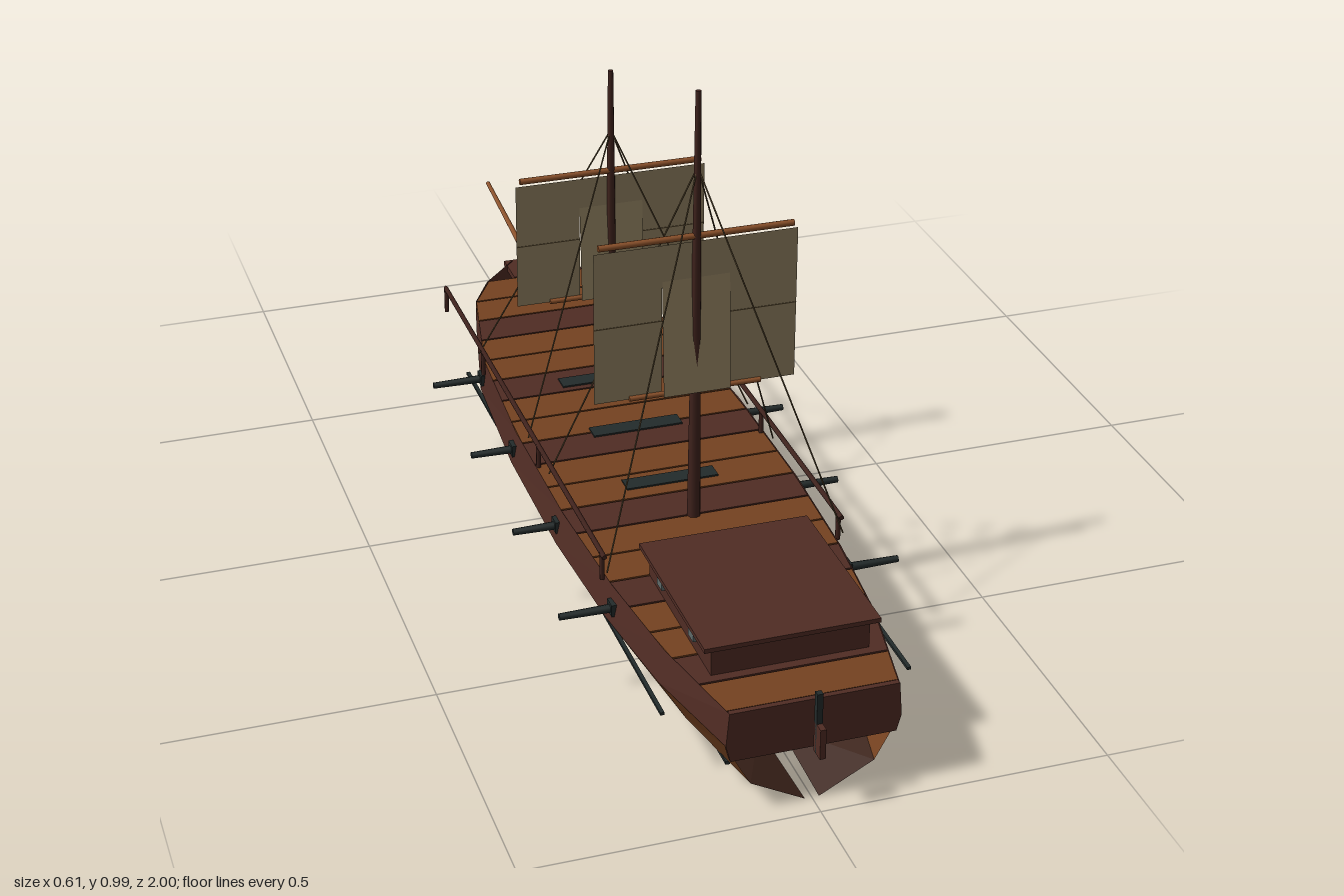
import * as THREE from 'three';

const paint = (name, color, opts = {}) => {
  const m = new THREE.MeshStandardMaterial({ color, ...opts });
  m.name = name;
  return m;
};

export function createModel() {
  const ship = new THREE.Group();
  ship.name = 'sailingShip';

  const open = { side: THREE.DoubleSide, flatShading: true };
  const oak = paint('warmBrownWood', 0x754220, open);
  const mahogany = paint('redBrownWood', 0x502c24, open);
  const tarred = paint('tarredWood', 0x3c231a, open);
  const mastWood = paint('mastWood', 0x40231d);
  const sparWood = paint('lightSparWood', 0x8b5028);
  const iron = paint('darkIron', 0x232b2b);
  const glass = paint('windowGlass', 0x5f6b6a);
  const rope = paint('rope', 0x5a4a30);
  const canvas = paint('canvas', 0x938262, { side: THREE.DoubleSide });

  const add = (name, geo, mat, parent = ship) => {
    const m = new THREE.Mesh(geo, mat);
    m.name = name;
    parent.add(m);
    return m;
  };
  const box = (name, mat, w, h, d, x, y, z, parent) => {
    const m = add(name, new THREE.BoxGeometry(w, h, d), mat, parent);
    m.position.set(x, y, z);
    return m;
  };
  // Round bar between two points, with a radius at each end
  const bar = (name, mat, a, b, r0, r1 = r0, sides = 6, parent = ship) => {
    const p = new THREE.Vector3(...a), q = new THREE.Vector3(...b);
    const dir = q.clone().sub(p);
    const m = add(name, new THREE.CylinderGeometry(r1, r0, dir.length(), sides), mat, parent);
    m.position.copy(p).add(q).multiplyScalar(0.5);
    m.quaternion.setFromUnitVectors(new THREE.Vector3(0, 1, 0), dir.normalize());
    return m;
  };

  // Hull stations: z, then half widths at deck, wale, chine and keel
  const stations = [
    [-0.70, 0.030, 0.018, 0.007, 0.003],
    [-0.62, 0.105, 0.100, 0.060, 0.008],
    [-0.54, 0.150, 0.150, 0.100, 0.012],
    [-0.29, 0.200, 0.208, 0.155, 0.018],
    [0.00, 0.217, 0.228, 0.178, 0.022],
    [0.30, 0.217, 0.230, 0.180, 0.022],
    [0.55, 0.205, 0.217, 0.168, 0.020],
    [0.76, 0.183, 0.193, 0.145, 0.017],
    [0.96, 0.143, 0.148, 0.105, 0.012],
  ];
  const levels = [0.19, 0.13, 0.05, 0];

  const deckHalfWidth = (z) => {
    for (let i = 1; i < stations.length; i++) {
      const a = stations[i - 1], b = stations[i];
      if (z <= b[0]) return THREE.MathUtils.lerp(a[1], b[1], (z - a[0]) / (b[0] - a[0]));
    }
    return stations[stations.length - 1][1];
  };

  // Planked hull sides, three strakes each
  const strake = (side, row) => {
    const pos = [], index = [];
    stations.forEach((s, i) => {
      pos.push(side * s[row + 1], levels[row], s[0], side * s[row + 2], levels[row + 1], s[0]);
      if (i === 0) return;
      const a = 2 * i - 2, b = a + 1, c = a + 2, d = a + 3;
      if (side > 0) index.push(a, c, b, b, c, d);
      else index.push(a, b, c, b, d, c);
    });
    const g = new THREE.BufferGeometry();
    g.setAttribute('position', new THREE.Float32BufferAttribute(pos, 3));
    g.setIndex(index);
    g.computeVertexNormals();
    return g;
  };
  for (const side of [1, -1]) {
    const label = side > 0 ? 'left' : 'right';
    add(label + 'TopStrake', strake(side, 0), mahogany);
    add(label + 'MiddleStrake', strake(side, 1), oak);
    add(label + 'BottomStrake', strake(side, 2), tarred);
    box(label + 'Wale', iron, 0.007, 0.005, 1.21, side * 0.212, 0.125, 0.235);
    box(label + 'ChineRail', iron, 0.007, 0.006, 1.55, side * 0.12, 0.048, 0.12);
  }

  // Transom panel
  const transom = new THREE.Shape([
    new THREE.Vector2(-0.143, 0.19), new THREE.Vector2(-0.148, 0.13), new THREE.Vector2(-0.14, 0.1),
    new THREE.Vector2(0.14, 0.1), new THREE.Vector2(0.148, 0.13), new THREE.Vector2(0.143, 0.19),
  ]);
  add('transom', new THREE.ExtrudeGeometry(transom, { depth: 0.01, bevelEnabled: false }), mahogany)
    .position.z = 0.952;

  // Deck planks tapered to the hull sides, every third one darker
  for (let i = -1; i <= 18; i++) {
    const z = -0.585 + 0.083 * i;
    const plank = box('deckPlank', (i + 1) % 3 === 0 ? mahogany : oak, 2, 0.012, 0.079, 0, 0.182, z);
    const p = plank.geometry.attributes.position;
    for (let v = 0; v < p.count; v++) {
      p.setX(v, p.getX(v) * (i < 0 ? 0.045 : deckHalfWidth(z + p.getZ(v)) - 0.001));
    }
  }

  // Hatch gratings
  for (const z of [-0.16, 0.04, 0.24]) box('hatchGrating', iron, 0.17, 0.008, 0.034, 0, 0.187, z);

  // Stern cabin
  box('cabinWalls', mahogany, 0.27, 0.05, 0.315, 0, 0.214, 0.693);
  box('cabinRoof', mahogany, 0.30, 0.008, 0.335, 0, 0.243, 0.693);
  for (const side of [1, -1]) {
    for (const z of [0.61, 0.77]) box('cabinWindow', glass, 0.008, 0.018, 0.024, side * 0.138, 0.219, z);
  }

  // Guns and their ports
  for (const side of [1, -1]) {
    for (const z of [-0.282, 0, 0.283, 0.567]) {
      const x = deckHalfWidth(z);
      box('gunPort', iron, 0.012, 0.022, 0.025, side * (x + 0.006), 0.158, z);
      bar('gunBarrel', iron, [side * (x - 0.01), 0.157, z], [side * 0.303, 0.157, z], 0.008, 0.006, 8);
    }
  }

  // Side railings
  for (const side of [1, -1]) {
    const x = side * 0.212;
    bar('handRail', mastWood, [x, 0.233, -0.535], [x, 0.233, 0.53], 0.0045);
    for (const z of [-0.53, -0.25, 0.13, 0.515]) {
      bar('railPost', mastWood, [x, 0.183, z], [x, 0.235, z], 0.0045);
    }
  }

  // Square sail: flat canvas with a lower opening, filled by a panel leaning forward
  const addSail = (rig, low, high, z) => {
    const panelTop = low + (high - low) * 0.76;
    const s = new THREE.Shape();
    s.moveTo(-0.18, low);
    s.lineTo(-0.06, low);
    s.lineTo(-0.06, panelTop);
    s.lineTo(0.06, panelTop);
    s.lineTo(0.06, low);
    s.lineTo(0.18, low);
    s.lineTo(0.18, high);
    s.lineTo(-0.18, high);
    s.closePath();
    add('sail', new THREE.ShapeGeometry(s), canvas, rig).position.z = z;
    const h = panelTop - low;
    const g = new THREE.PlaneGeometry(0.12, h);
    const p = g.attributes.position;
    for (let i = 0; i < p.count; i++) if (p.getY(i) < 0) p.setZ(i, 0.0125);
    g.computeVertexNormals();
    add('sailBelly', g, canvas, rig).position.set(0, low + h / 2, z);
    for (const side of [1, -1]) {
      box('sailSeam', rope, 0.12, 0.0015, 0.002, side * 0.12, (low + high) / 2, z, rig);
    }
  };

  // Masts with yards, sails and shrouds
  const rigs = [
    { name: 'mainMast', z: 0.37, top: 0.985, low: 0.435, high: 0.715, tie: 0.85 },
    { name: 'foreMast', z: -0.11, top: 0.835, low: 0.39, high: 0.63, tie: 0.72 },
  ];
  for (const { name, z, top, low, high, tie } of rigs) {
    const rig = new THREE.Group();
    rig.name = name + 'Rig';
    ship.add(rig);
    bar(name, mastWood, [0, 0.18, z], [0, top, z], 0.0125, 0.005, 8, rig);
    bar('topYard', sparWood, [-0.172, high + 0.01, z], [0.172, high + 0.01, z], 0.006, 0.006, 8, rig);
    bar('lowerYard', sparWood, [-0.118, low + 0.001, z], [0.118, low + 0.001, z], 0.005, 0.005, 8, rig);
    addSail(rig, low, high, z);
    for (const side of [1, -1]) {
      for (const dz of [0.17, -0.175]) {
        bar('shroud', rope, [side * 0.211, 0.21, z + dz], [0, tie, z], 0.0015, 0.0015, 5, rig);
      }
    }
  }

  // Bowsprit and figurehead
  bar('bowsprit', sparWood, [0, 0.188, -0.62], [0, 0.233, -0.998], 0.0065, 0.0045, 8);
  const head = add('figurehead', new THREE.SphereGeometry(0.013, 8, 6), tarred);
  head.scale.y = 1.5;
  head.position.set(0, 0.2, -0.715);

  // Rudder
  box('rudderBlade', mahogany, 0.01, 0.055, 0.028, 0, 0.128, 0.986);
  box('rudderPost', iron, 0.01, 0.11, 0.011, 0, 0.156, 0.977);

  return ship;
}
